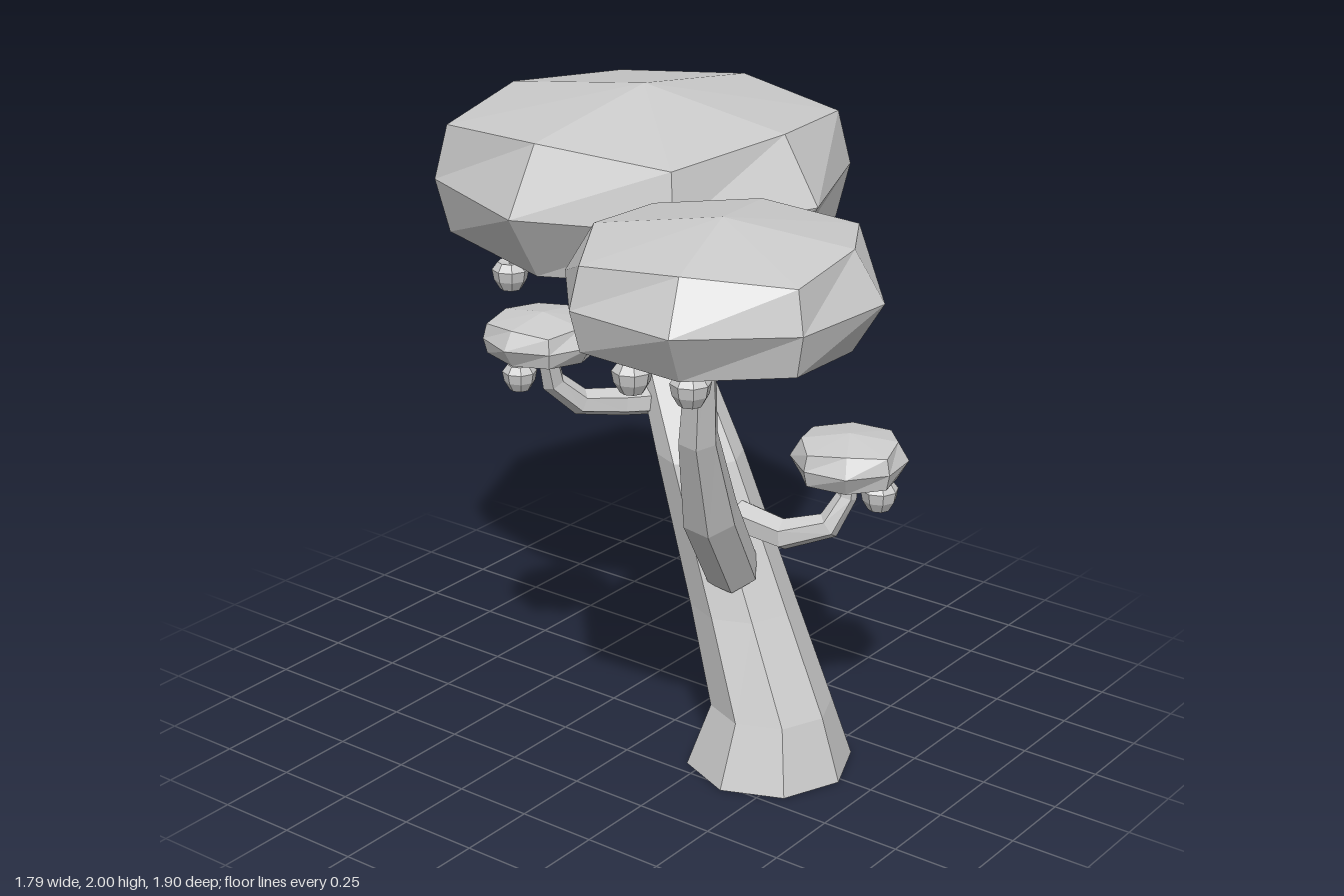
import * as THREE from 'three';

const mat = new THREE.MeshStandardMaterial({ color: 0xcccccc, flatShading: true, side: THREE.DoubleSide });

function add(parent, geometry, name) {
  const mesh = new THREE.Mesh(geometry, mat);
  mesh.name = name;
  parent.add(mesh);
  return mesh;
}

// Skin a list of equally long vertex rings (arrays of Vector3)
function skin(rings) {
  const n = rings[0].length, pos = [], idx = [];
  rings.forEach(r => r.forEach(v => pos.push(v.x, v.y, v.z)));
  for (let i = 0; i < rings.length - 1; i++) {
    for (let j = 0; j < n; j++) {
      const a = i * n + j, b = i * n + (j + 1) % n;
      idx.push(a, b, b + n, a, b + n, a + n);
    }
  }
  const g = new THREE.BufferGeometry();
  g.setAttribute('position', new THREE.Float32BufferAttribute(pos, 3));
  g.setIndex(idx);
  g.computeVertexNormals();
  return g;
}

// Tapered limb through stations [x, y, z, radius]; level rings stay horizontal
function limb(stations, sides, level = false) {
  const pts = stations.map(s => new THREE.Vector3(s[0], s[1], s[2]));
  const up = new THREE.Vector3(0, 1, 0);
  const q = new THREE.Quaternion();
  let last = up.clone();
  const rings = pts.map((p, i) => {
    const next = pts[Math.min(i + 1, pts.length - 1)], prev = pts[Math.max(i - 1, 0)];
    const dir = level ? up : next.clone().sub(prev).normalize();
    q.premultiply(new THREE.Quaternion().setFromUnitVectors(last, dir));
    last = dir.clone();
    return Array.from({ length: sides }, (_, j) => {
      const a = j / sides * Math.PI * 2, r = stations[i][3];
      return new THREE.Vector3(Math.sin(a) * r, 0, Math.cos(a) * r).applyQuaternion(q).add(p);
    });
  });
  return skin(rings);
}

// Flattened rounded-cube blob: corner vertices sit wider and lower than edge midpoints
function blob(radius, half) {
  const rows = [
    [0, -1, 0, -1], [0.81, -0.73, 0.935, -0.61], [1, 0, 1, 0],
    [0.81, 0.73, 0.935, 0.61], [0, 1, 0, 1],
  ];
  return skin(rows.map(row => Array.from({ length: 8 }, (_, j) => {
    const a = j * Math.PI / 4, k = (j % 2) * 2;
    return new THREE.Vector3(Math.sin(a) * row[k] * radius, row[k + 1] * half, Math.cos(a) * row[k] * radius);
  })));
}

export function createModel() {
  const tree = new THREE.Group();
  tree.name = 'tree';

  // Trunk, flared at the foot and open underneath
  add(tree, limb([
    [-0.02, 0, 0.385, 0.26], [-0.02, 0.2, 0.39, 0.19], [0.0, 0.5, 0.265, 0.165],
    [0.015, 0.95, 0.085, 0.135], [0.12, 1.27, -0.14, 0.1], [0.24, 1.6, -0.3, 0.09],
  ], 8, true), 'trunk');

  // Branches
  const branches = {
    largeBranch: [[-0.08, 0.64, 0.28, 0.085], [-0.265, 0.9, 0.33, 0.088],
      [-0.4, 1.2, 0.385, 0.062], [-0.47, 1.6, 0.45, 0.04]],
    frontBranch: [[-0.01, 0.79, 0.22, 0.055], [-0.01, 0.77, 0.42, 0.05],
      [0.05, 0.81, 0.54, 0.042], [0.09, 0.9, 0.575, 0.032], [0.1, 1.0, 0.575, 0.03]],
    rearBranch: [[0.06, 1.08, -0.05, 0.05], [-0.08, 1.09, -0.14, 0.045],
      [-0.2, 1.11, -0.21, 0.042], [-0.28, 1.19, -0.25, 0.038], [-0.33, 1.34, -0.24, 0.03]],
  };
  for (const [name, stations] of Object.entries(branches)) add(tree, limb(stations, 6), name);

  // Canopies: name, x, y, z, radius, half height, turn in degrees
  [
    ['mainCanopy', 0.24, 1.72, -0.3, 0.65, 0.28, 0],
    ['secondCanopy', -0.46, 1.695, 0.51, 0.46, 0.2, 18.5],
    ['frontCanopy', 0.1, 1.02, 0.575, 0.178, 0.08, 30],
    ['rearCanopy', -0.345, 1.36, -0.23, 0.18, 0.075, 0],
  ].forEach(([name, x, y, z, r, h, turn]) => {
    const canopy = add(tree, blob(r, h), name);
    canopy.position.set(x, y, z);
    canopy.rotation.y = THREE.MathUtils.degToRad(turn);
  });

  // Hanging fruits with stalks: x, y, z, scale
  const profile = [[0, -0.042], [0.034, -0.046], [0.052, -0.015], [0.058, 0.018], [0.04, 0.042], [0, 0.034]]
    .map(p => new THREE.Vector2(...p));
  const fruitGeo = new THREE.LatheGeometry(profile, 8);
  const stalkGeo = new THREE.CylinderGeometry(0.006, 0.006, 0.08, 4);
  [
    [-0.71, 1.49, 0.59, 1], [-0.665, 1.46, 0.355, 1], [-0.22, 1.49, 0.57, 1],
    [-0.1, 1.42, -0.565, 1], [-0.035, 1.44, -0.06, 1], [0.465, 1.41, -0.22, 1],
    [0.585, 1.475, -0.515, 1], [0.17, 0.895, 0.64, 1], [-0.405, 1.24, -0.275, 0.9],
  ].forEach(([x, y, z, s]) => {
    const fruit = new THREE.Group();
    fruit.name = 'fruit';
    add(fruit, fruitGeo, 'fruitBody');
    add(fruit, stalkGeo, 'fruitStalk').position.y = 0.07;
    fruit.position.set(x, y, z);
    fruit.scale.setScalar(s);
    tree.add(fruit);
  });

  return tree;
}
